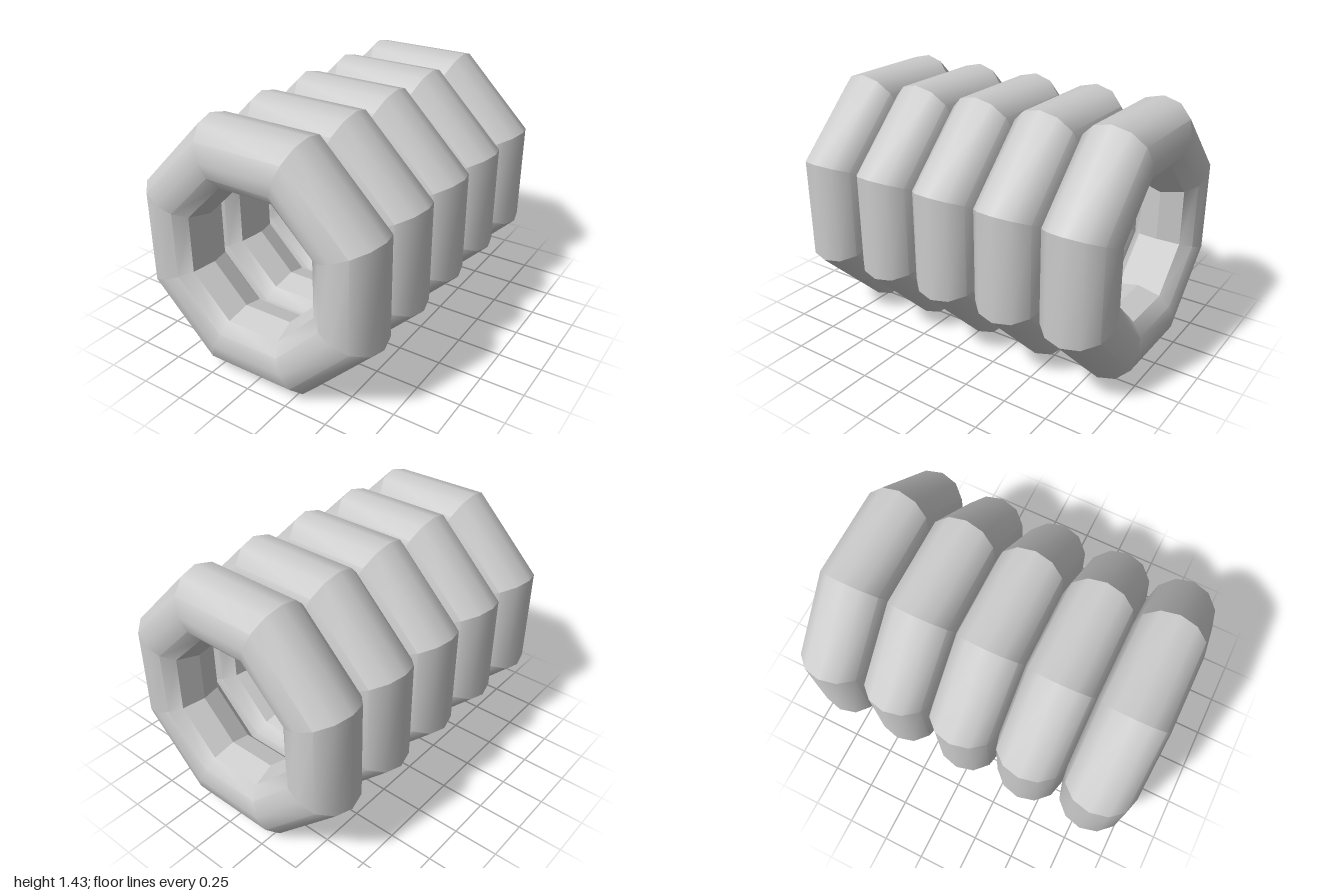
import * as THREE from 'three';
import { toCreasedNormals } from 'three/addons/utils/BufferGeometryUtils.js';

const SIDES = 8;
const OUTER = 0.717; // distance from axis to the outer flats
const TUBE = 0.2; // half the depth of one ring

// Half of the ring section, from outer crest to inner ridge: [distance to flat, depth]
const half = [
  [OUTER, 0], [0.693, 0.1], [0.626, 0.173], [0.534, TUBE],
  [0.454, 0.18], [0.39, 0.125], [0.352, 0],
];

function ringGeometry() {
  const toCorner = 1 / Math.cos(Math.PI / SIDES);
  const front = half.map(([r, d]) => new THREE.Vector2(r * toCorner, d));
  // Mirror the half section and close the loop
  const back = half.slice(0, -1).reverse().map(([r, d]) => new THREE.Vector2(r * toCorner, -d));
  const geometry = new THREE.LatheGeometry([...front, ...back], SIDES, Math.PI / SIDES);
  geometry.rotateX(Math.PI / 2);
  return toCreasedNormals(geometry, THREE.MathUtils.degToRad(31.5));
}

export function createModel() {
  const model = new THREE.Group();
  model.name = 'ringStack';
  const material = new THREE.MeshStandardMaterial({ color: 0xcccccc });
  const geometry = ringGeometry();

  // Five identical octagonal rings, touching face to face
  for (let i = 0; i < 5; i++) {
    const ring = new THREE.Mesh(geometry, material);
    ring.name = `ring${i + 1}`;
    ring.position.set(0, OUTER, (2 - i) * 2 * TUBE);
    model.add(ring);
  }
  return model;
}
